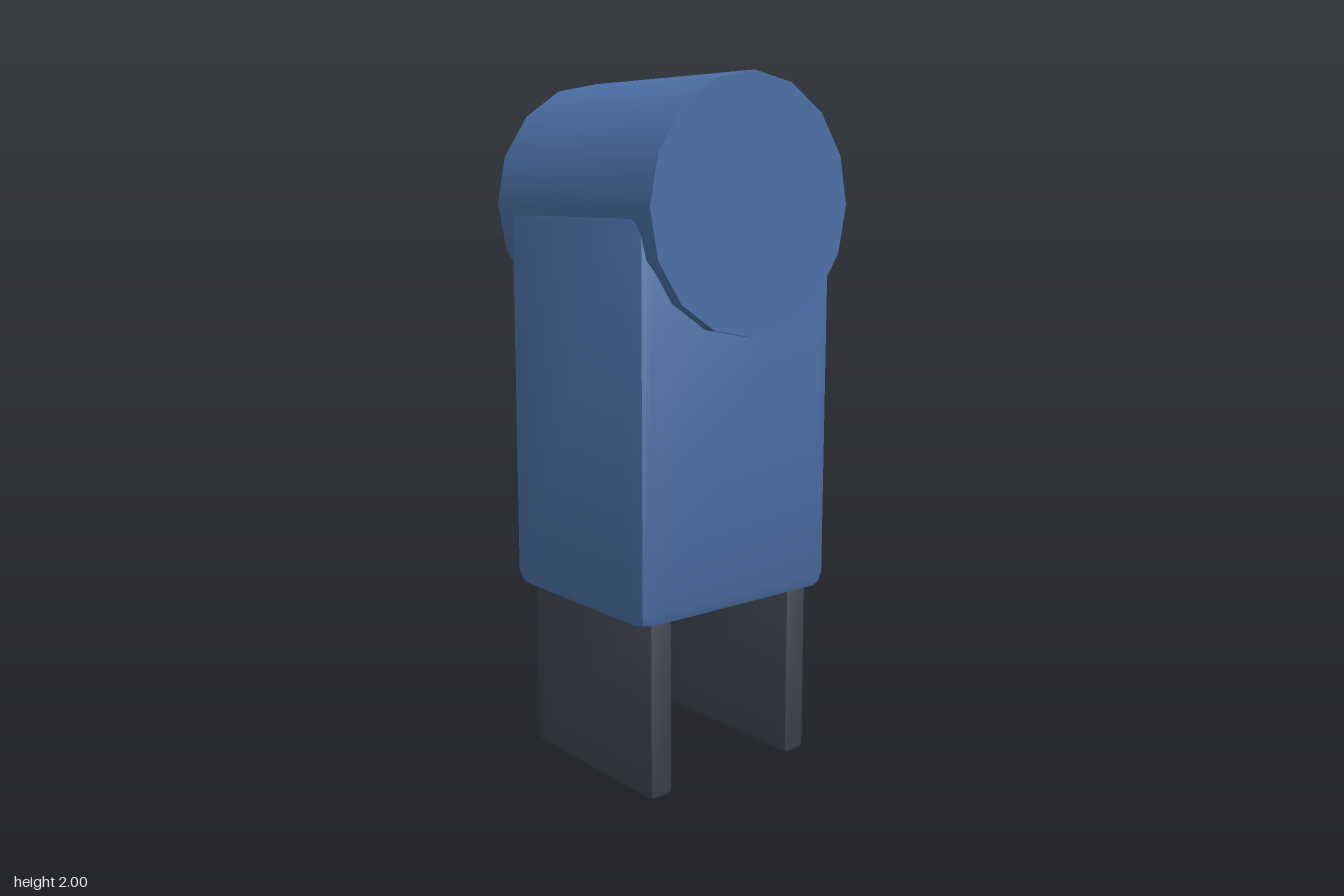
import * as THREE from 'three';
import { toCreasedNormals } from 'three/addons/utils/BufferGeometryUtils.js';
import { RoundedBoxGeometry } from 'three/addons/geometries/RoundedBoxGeometry.js';

const blue = new THREE.MeshStandardMaterial({ color: 0x4a6fa5 });
blue.name = 'blue';
const charcoal = new THREE.MeshStandardMaterial({ color: 0x3f424e });
charcoal.name = 'charcoal';

// Box with two-step bevelled edges, soft across the faces, standing on y0.
function bevelledBox(name, [w, h, d], radius, x, y0, material) {
  const rounded = new RoundedBoxGeometry(w, h, d, 1, radius);
  const mesh = new THREE.Mesh(toCreasedNormals(rounded, 0.6), material);
  mesh.name = name;
  mesh.position.set(x, y0 + h / 2, 0);
  return mesh;
}

export function createModel() {
  const model = new THREE.Group();
  model.name = 'hingePiece';

  // Upright block
  model.add(bevelledBox('body', [0.71, 1.145, 0.635], 0.05, 0, 0.505, blue));

  // Barrel lying front to back across the top
  const barrel = new THREE.Mesh(new THREE.CylinderGeometry(0.355, 0.355, 0.715, 16).rotateX(Math.PI / 2), blue);
  barrel.name = 'barrel';
  barrel.position.y = 1.645;
  model.add(barrel);

  // Pair of flat prongs, sunk slightly into the block
  for (const [side, name] of [[1, 'leftProng'], [-1, 'rightProng']]) {
    model.add(bevelledBox(name, [0.08, 0.535, 0.57], 0.018, side * 0.257, 0, charcoal));
  }

  return model;
}
